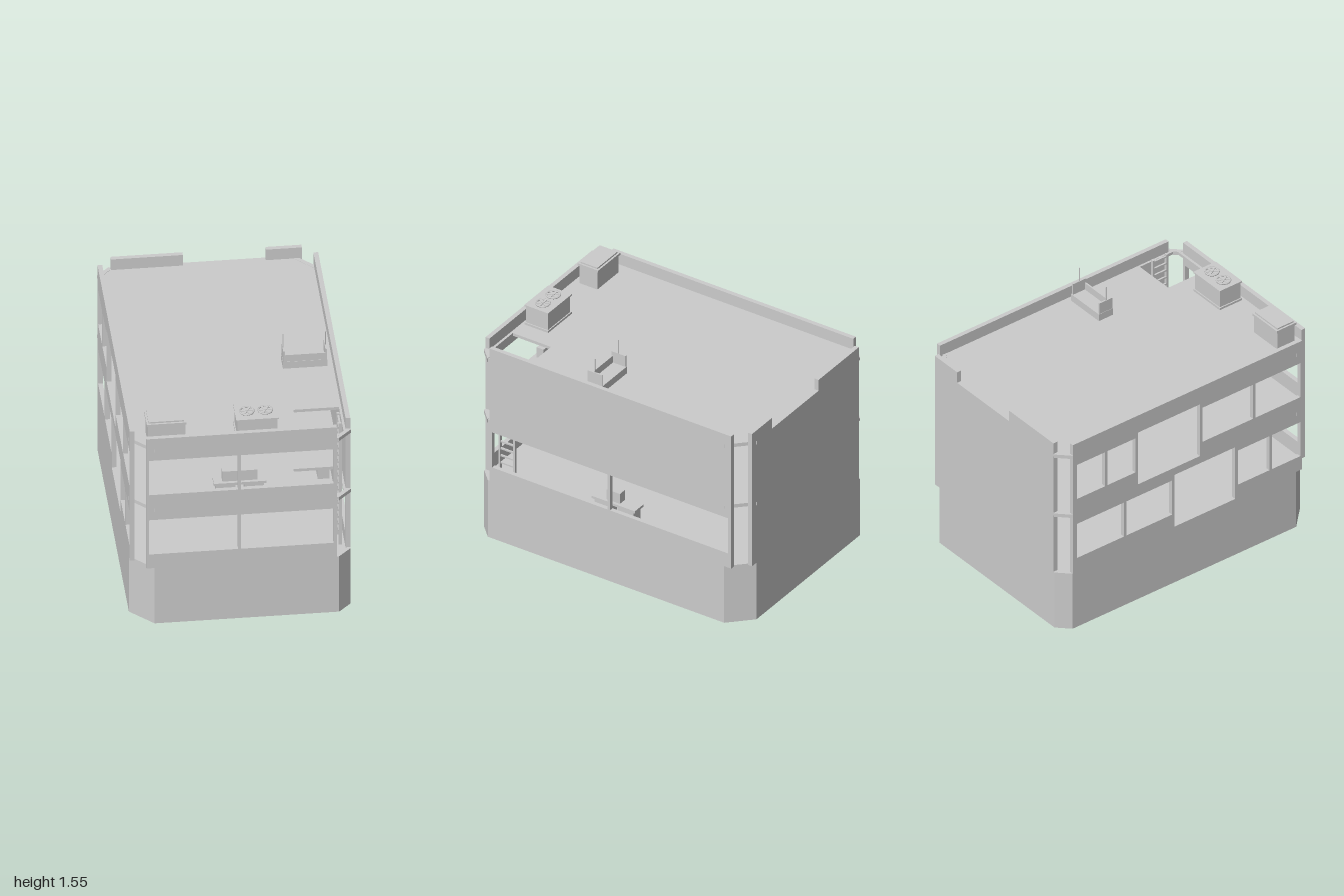
import * as THREE from 'three';

const concrete = new THREE.MeshStandardMaterial({ color: 0xcccccc });
concrete.name = 'concrete grey';

const X = 0.69, Z = 0.997;            // outer faces of the walls
const T = 0.03;                       // wall thickness
const BASE = 0.42, MID = 0.87, ROOF = 1.32, TOP = 1.4;
const SMALL = 0.08, LARGE = 0.145;    // corner chamfers

// Each corner: side in x, side in z, chamfer size
const corners = [[1, 1, SMALL], [1, -1, LARGE], [-1, -1, SMALL], [-1, 1, LARGE]];

export function createModel() {
  const model = new THREE.Group();
  model.name = 'building';

  const add = (name, geometry, parent = model) => {
    const mesh = new THREE.Mesh(geometry, concrete);
    mesh.name = name;
    parent.add(mesh);
    return mesh;
  };
  const group = (name) => {
    const g = new THREE.Group();
    g.name = name;
    model.add(g);
    return g;
  };
  // Box given by its limits
  const box = (name, x0, x1, y0, y1, z0, z1, parent) => {
    const mesh = add(name, new THREE.BoxGeometry(x1 - x0, y1 - y0, z1 - z0), parent);
    mesh.position.set((x0 + x1) / 2, (y0 + y1) / 2, (z0 + z1) / 2);
    return mesh;
  };
  const polygon = (points, PathType = THREE.Shape) =>
    new PathType(points.map(([a, b]) => new THREE.Vector2(a, b)));
  const rect = ([a0, a1, b0, b1]) => [[a0, b0], [a1, b0], [a1, b1], [a0, b1]];
  const extrude = (points, holes, depth) => {
    const shape = polygon(points);
    for (const h of holes) shape.holes.push(polygon(rect(h), THREE.Path));
    return new THREE.ExtrudeGeometry(shape, { depth, bevelEnabled: false });
  };
  // Horizontal slab from points in x, z
  const slab = (name, points, y0, y1, holes = []) => {
    const flip = points.map(([x, z]) => [x, -z]);
    const flipped = holes.map(([x0, x1, z0, z1]) => [x0, x1, -z1, -z0]);
    const geo = extrude(flip, flipped, y1 - y0).rotateX(-Math.PI / 2);
    add(name, geo).position.y = y0;
  };
  // Upright wall along z, with its outer face on the given side
  const sideWall = (name, side, z0, z1, holes) => {
    const geo = extrude(rect([z0, z1, BASE, TOP]), holes, T).rotateY(-Math.PI / 2);
    add(name, geo).position.x = side > 0 ? X : -X + T;
  };

  // Chamfered base and floors with a ladder hatch
  const footprint = corners.flatMap(([sx, sz, c], i) => {
    const alongX = [sx * (X - c), sz * Z], alongZ = [sx * X, sz * (Z - c)];
    return i % 2 ? [alongZ, alongX] : [alongX, alongZ];
  });
  const hatch = [0.36, 0.645, 0.665, 0.95];
  slab('base', footprint, 0, BASE);
  slab('upperFloor', footprint, MID - 0.02, MID, [hatch]);
  slab('roof', footprint, ROOF - 0.02, ROOF, [hatch]);

  // Ledges across the open corners
  for (const [sx, sz, c] of corners) {
    for (const y of [MID, ROOF]) {
      slab('cornerLedge', [
        [sx * (X - c), sz * (Z + 0.003)], [sx * (X + 0.003), sz * (Z - c)],
        [sx * (X - 0.035), sz * (Z - c)], [sx * (X - c), sz * (Z - 0.035)],
      ], y - 0.023, y + 0.002);
    }
  }

  // Front wall: two pairs of windows
  const low = [0.525, 0.785], high = [0.975, 1.235];
  const frontHoles = [low, high].flatMap((y) => [[-0.58, -0.022, ...y], [-0.004, 0.575, ...y]]);
  add('frontWall', extrude(rect([-0.597, 0.595, BASE, TOP]), frontHoles, T)).position.z = Z - T;

  // Right side of the footprint: one long window below
  sideWall('leftSideWall', 1, -0.905, 0.905, [[-0.88, 0.003, ...low], [0.021, 0.885, ...low]]);

  // Opposite side: ribbon windows broken by one tall opening per storey
  const tallLow = [0.425, 0.82], tallHigh = [0.875, 1.27];
  sideWall('rightSideWall', -1, -0.915, 0.9, [
    [-0.88, -0.51, ...low], [-0.49, -0.13, ...low], [-0.11, 0.37, ...tallLow],
    [0.39, 0.64, ...low], [0.66, 0.885, ...low],
    [-0.88, -0.66, ...high], [-0.64, -0.42, ...high], [-0.4, 0.09, ...tallHigh],
    [0.11, 0.51, ...high], [0.53, 0.885, ...high],
  ]);

  // Back wall with a gap in the parapet
  add('backWall', extrude([
    [-0.6, BASE], [0.595, BASE], [0.595, TOP], [0.37, TOP],
    [0.37, ROOF], [-0.15, ROOF], [-0.15, TOP], [-0.6, TOP],
  ], [], T)).position.z = -Z;

  // Ladder through both hatches
  const ladder = group('ladder');
  for (const z of [0.755, 0.865]) box('ladderRail', 0.62, 0.64, BASE, 1.34, z - 0.007, z + 0.007, ladder);
  for (let y = 0.49; y < 1.33; y += 0.052) box('ladderRung', 0.624, 0.636, y - 0.005, y + 0.005, 0.755, 0.865, ladder);

  // Desks: top, legs and a box standing on top
  const frontDesk = group('frontDesk');
  box('deskTop', -0.17, 0.16, 0.988, 1.005, 0.87, 0.963, frontDesk);
  box('deskBox', -0.115, 0.105, 1.005, 1.08, 0.89, 0.943, frontDesk);
  for (const x of [-0.155, 0.025]) box('deskPedestal', x, x + 0.12, MID, 0.988, 0.88, 0.955, frontDesk);
  const sideDesk = group('sideDesk');
  box('deskTop', 0.56, 0.655, 0.54, 0.557, -0.16, 0.165, sideDesk);
  box('deskBox', 0.58, 0.635, 0.557, 0.63, -0.035, 0.065, sideDesk);
  for (const z of [-0.145, 0.03]) box('deskPedestal', 0.57, 0.645, BASE, 0.54, z, z + 0.12, sideDesk);

  // Plain roof vent with a raised rim
  const vent = group('roofVent');
  box('ventBody', -0.58, -0.345, ROOF, 1.45, 0.79, 0.925, vent);
  box('ventCap', -0.587, -0.34, 1.45, 1.466, 0.78, 0.935, vent);
  box('ventLid', -0.575, -0.352, 1.466, 1.476, 0.793, 0.922, vent);

  // Cooling unit with two fans
  const cooler = group('coolingUnit');
  box('coolerFoot', -0.028, 0.238, ROOF, 1.335, 0.768, 0.946, cooler);
  box('coolerBody', -0.02, 0.23, 1.335, 1.455, 0.775, 0.94, cooler);
  box('coolerTop', -0.028, 0.238, 1.455, 1.465, 0.768, 0.946, cooler);
  for (const x of [0.047, 0.163]) {
    const ring = add('fanRing', new THREE.TorusGeometry(0.043, 0.006, 6, 20).rotateX(Math.PI / 2), cooler);
    ring.position.set(x, 1.47, 0.857);
    const hub = add('fanHub', new THREE.CylinderGeometry(0.012, 0.012, 0.015, 12), cooler);
    hub.position.set(x, 1.472, 0.857);
    for (let i = 0; i < 3; i++) {
      const blade = add('fanBlade', new THREE.BoxGeometry(0.084, 0.004, 0.014), cooler);
      blade.position.set(x, 1.473, 0.857);
      blade.rotation.y = (i * Math.PI) / 3;
    }
  }

  // Aerial stand: low box, screen, end plates and rods
  const aerial = group('aerialStand');
  box('standBase', 0.345, 0.625, ROOF, 1.37, 0.105, 0.215, aerial);
  box('standScreen', 0.35, 0.615, 1.37, 1.42, 0.203, 0.213, aerial);
  for (const x of [0.352, 0.616]) {
    box('standEnd', x - 0.005, x + 0.005, 1.37, 1.45, 0.11, 0.215, aerial);
    const rod = add('aerialRod', new THREE.CylinderGeometry(0.003, 0.003, 0.1, 8), aerial);
    rod.position.set(x, 1.5, 0.165);
  }

  return model;
}
